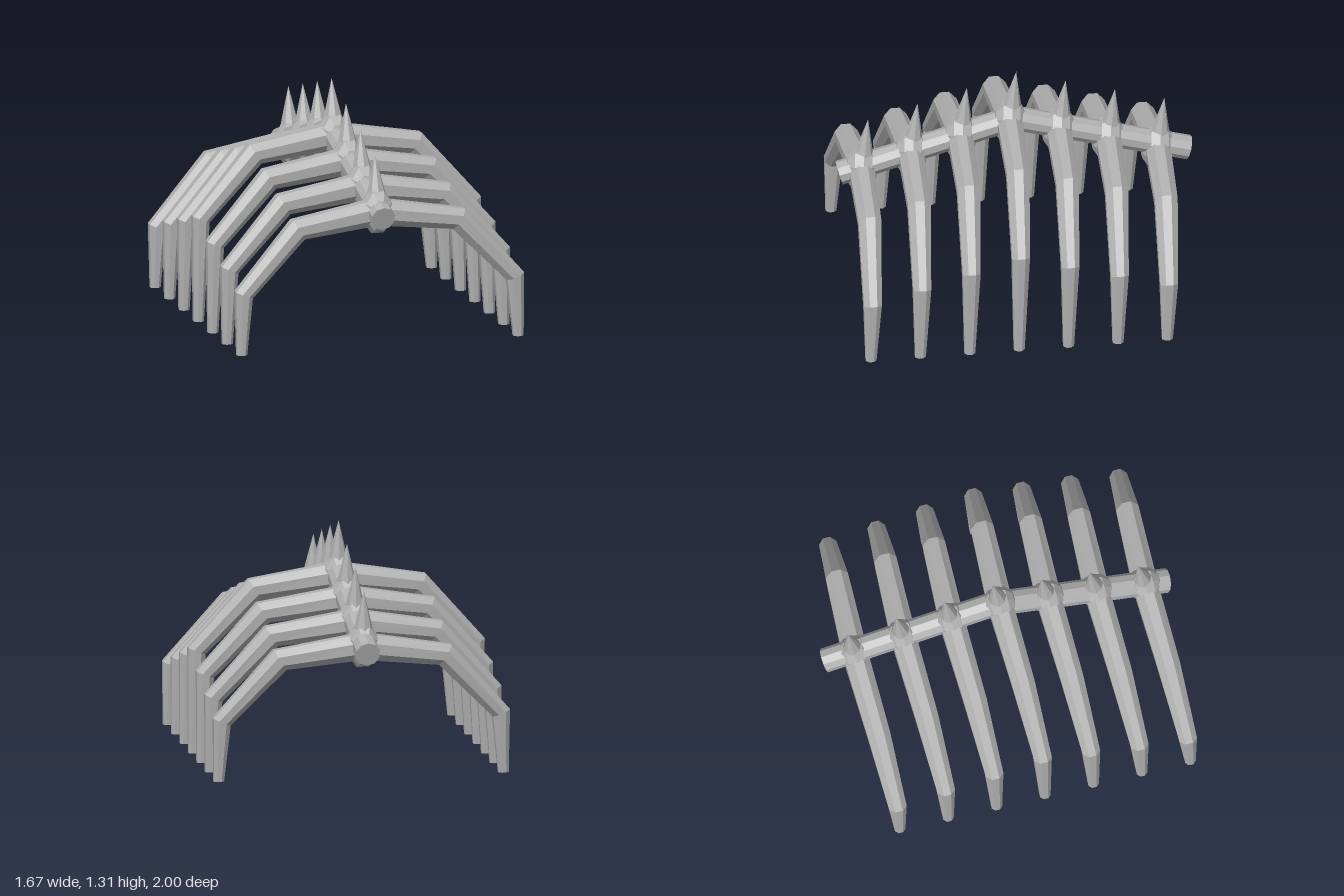
import * as THREE from 'three';

const SIDES = 8;
const TILT = -0.095;

// Half of a rib arch, from the crown down to the knee:
// centre x, y, z, then the section's half axis in x, y and its half width in z
const HALF_RIB = [
  [0, 0.99, 0, 0, 0.075, 0.07],
  [0.465, 0.925, 0.018, 0.035, 0.055, 0.064],
  [0.787, 0.58, 0.047, 0.048, 0.02, 0.05],
];
const FOOT = [0.802, 0, 0.058, 0.029, 0, 0.03];

// Closed tube through a list of octagonal sections
function sectionTube(sections) {
  const pos = [];
  const index = [];
  const grow = 1 / Math.cos(Math.PI / SIDES);
  for (const [x, y, z, ux, uy, w] of sections) {
    for (let j = 0; j < SIDES; j++) {
      const a = ((j + 0.5) / SIDES) * Math.PI * 2;
      const c = Math.cos(a) * grow;
      pos.push(x + c * ux, y + c * uy, z + Math.sin(a) * grow * w);
    }
  }
  for (let i = 0; i < sections.length - 1; i++) {
    for (let j = 0; j < SIDES; j++) {
      const a = i * SIDES + j;
      const b = i * SIDES + ((j + 1) % SIDES);
      index.push(a, b, a + SIDES, b, b + SIDES, a + SIDES);
    }
  }
  const last = (sections.length - 1) * SIDES;
  for (let j = 1; j < SIDES - 1; j++) {
    index.push(0, j + 1, j, last, last + j, last + j + 1);
  }
  const geo = new THREE.BufferGeometry();
  geo.setAttribute('position', new THREE.Float32BufferAttribute(pos, 3));
  geo.setIndex(index);
  const flat = geo.toNonIndexed();
  flat.computeVertexNormals();
  return flat;
}

// Rib arch lowered by drop, with both feet kept on the ground
function ribGeometry(drop) {
  const half = HALF_RIB.map(([x, y, ...rest]) => [x, y - drop, ...rest]);
  half.push(FOOT);
  const mirrored = half.slice(1).reverse()
    .map(([x, y, z, ux, uy, w]) => [-x, y, z, -ux, uy, w]);
  return sectionTube([...mirrored, ...half]);
}

export function createModel() {
  const model = new THREE.Group();
  model.name = 'ribCage';
  const bone = new THREE.MeshStandardMaterial({ color: 0xb0b0b0, flatShading: true });
  bone.name = 'grey bone';

  const add = (parent, name, geo, x = 0, y = 0, z = 0) => {
    const mesh = new THREE.Mesh(geo, bone);
    mesh.name = name;
    mesh.position.set(x, y, z);
    parent.add(mesh);
    return mesh;
  };

  // Spine: two bars sloping down from the middle
  const rise = 0.275;
  const run = 0.98;
  const length = Math.hypot(rise, run);
  for (const s of [1, -1]) {
    const geo = new THREE.CylinderGeometry(0.069, 0.069, length + 0.02, 10);
    geo.translate(0, -0.01 + length / 2 , 0);
    const bar = add(model, s > 0 ? 'frontSpine' : 'backSpine', geo, 0, 1.01, 0);
    bar.quaternion.setFromUnitVectors(
      new THREE.Vector3(0, 1, 0),
      new THREE.Vector3(0, -rise, s * run).normalize());
  }

  // Vertebra knob, shared by all segments
  const knob = new THREE.SphereGeometry(1, 8, 6);
  knob.rotateX(Math.PI / 2);
  knob.rotateZ(Math.PI / 8);
  knob.scale(0.093, 0.136, 0.097);
  knob.rotateX(TILT);

  // Spike, leaning back a little
  const spike = new THREE.ConeGeometry(0.066, 0.27, 8);
  spike.translate(0, 0.135, 0);
  spike.rotateX(TILT * 1.2);

  // Seven segments of rib arch, knob and spike
  for (let i = 0; i < 7; i++) {
    const drop = 0.08 * Math.abs(i - 3);
    const segment = new THREE.Group();
    segment.name = 'segment' + (i + 1);
    segment.position.z = 0.025 + (3 - i) * 0.277;
    add(segment, 'ribArch', ribGeometry(drop));
    add(segment, 'vertebra', knob, 0, 0.995 - drop, 0);
    add(segment, 'spike', spike, 0, 1.042 - drop, -0.008);
    model.add(segment);
  }
  return model;
}
